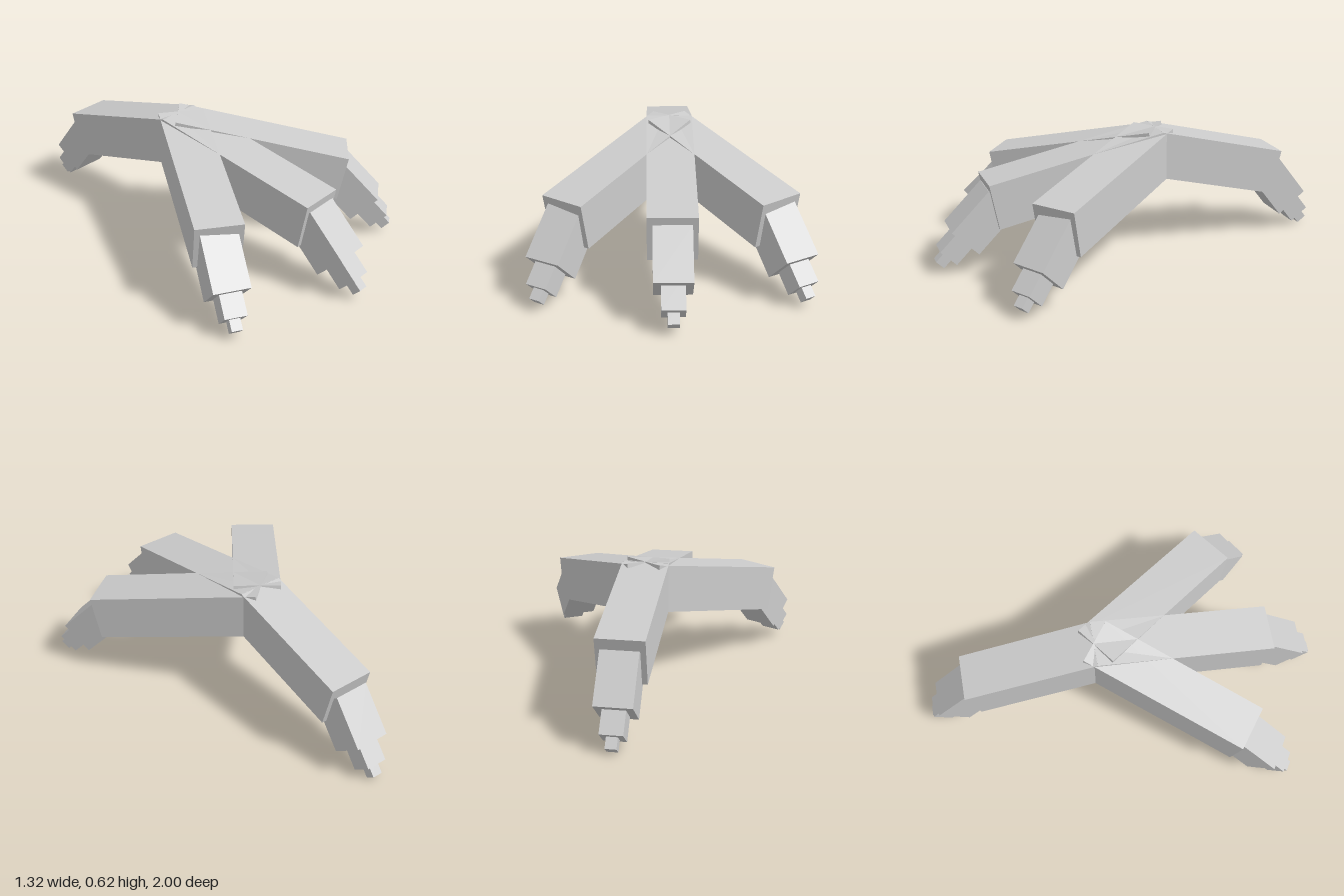
import * as THREE from 'three';

const grey = new THREE.MeshStandardMaterial({ color: 0xcccccc });
grey.name = 'lightGrey';
const rad = THREE.MathUtils.degToRad;

// Square bar running along +z from `from` to `to`
function bar(name, width, from, to) {
  const geometry = new THREE.BoxGeometry(width, width, to - from);
  geometry.translate(0, 0, (from + to) / 2);
  const mesh = new THREE.Mesh(geometry, grey);
  mesh.name = name;
  return mesh;
}

// Group at a point, heading by yaw and dipping by pitch (degrees)
function joint(name, position, yaw, pitch) {
  const group = new THREE.Group();
  group.name = name;
  group.position.set(...position);
  group.rotation.set(rad(pitch), rad(yaw), 0, 'YXZ');
  return group;
}

// One leg: a long upper bar and a stepped lower part, each placed by the centre of its far end
function leg(name, upper, lower) {
  const group = new THREE.Group();
  group.name = name;
  const thigh = joint('upperJoint', upper.end, upper.yaw, upper.pitch);
  thigh.add(bar('upperLeg', 0.228, -upper.length, 0));
  const shin = joint('lowerJoint', lower.end, lower.yaw, lower.pitch);
  shin.add(
    bar('lowerLeg', 0.177, -lower.length, 0),
    bar('foot', 0.107, -0.05, 0.111),
    bar('toe', 0.052, 0.06, 0.165),
  );
  group.add(thigh, shin);
  return group;
}

export function createModel() {
  const model = new THREE.Group();
  model.name = 'fourLeggedClaw';

  // Front and back legs
  model.add(leg('frontLeg',
    { end: [0, 0.334, 0.724], yaw: 0, pitch: 10.8, length: 0.895 },
    { end: [0, 0.163, 0.866], yaw: 0, pitch: 45, length: 0.262 }));
  model.add(leg('backLeg',
    { end: [0, 0.335, -0.762], yaw: 180, pitch: 14.3, length: 0.68 },
    { end: [0, 0.143, -0.88], yaw: 180, pitch: 52, length: 0.255 }));

  // Diagonal legs, mirrored
  for (const side of [1, -1]) {
    model.add(leg(side > 0 ? 'leftLeg' : 'rightLeg',
      { end: [side * 0.484, 0.334, 0.534], yaw: side * 36.9, pitch: 11.4, length: 0.866 },
      { end: [side * 0.55, 0.157, 0.643], yaw: side * 31, pitch: 46, length: 0.275 }));
  }
  return model;
}
